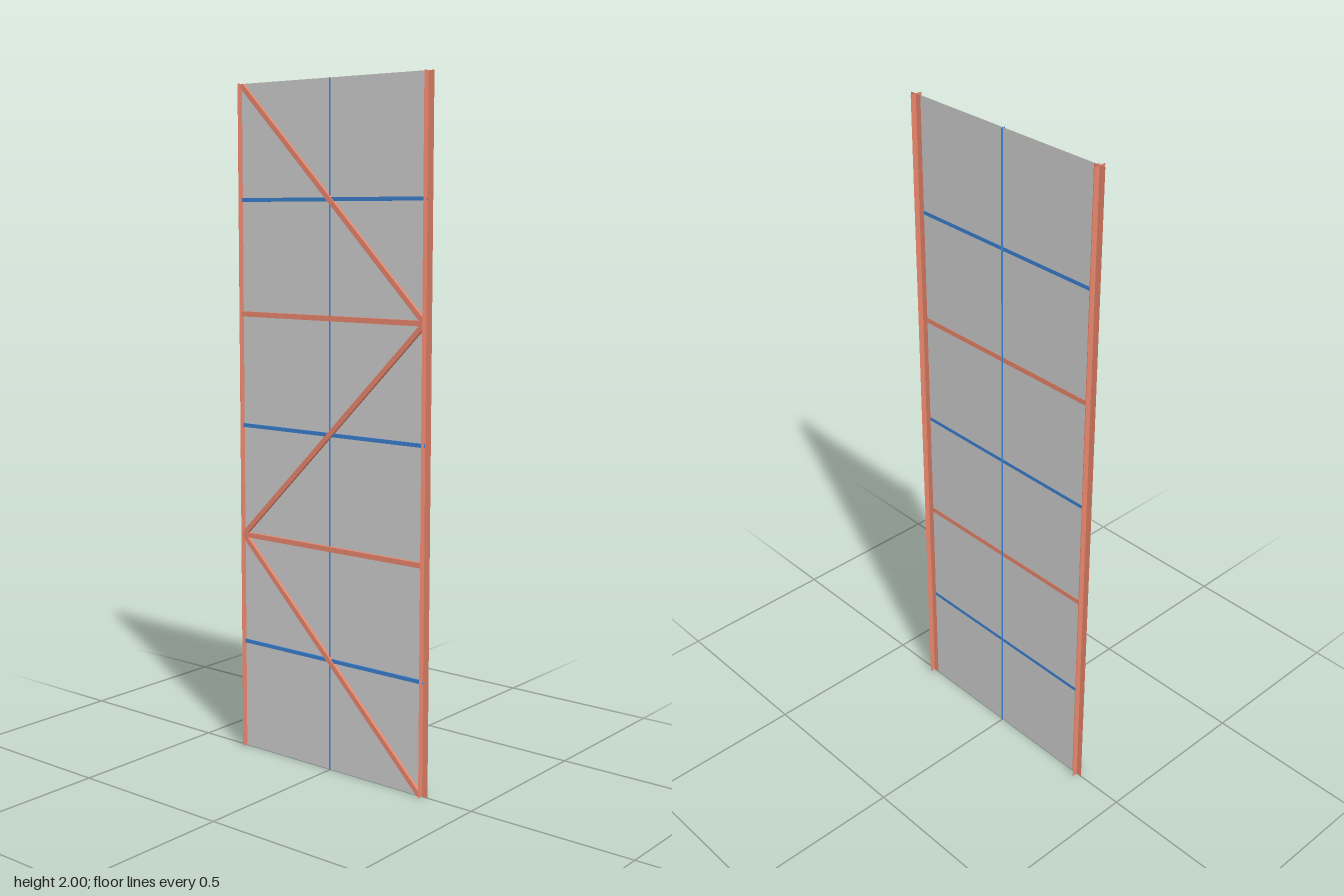
import * as THREE from 'three';

const HEIGHT = 2;
const HALF = 0.333;      // panel half width along z
const BAY = HEIGHT / 3;  // height of one braced bay

const grey = new THREE.MeshStandardMaterial({ color: 0xcccccc, side: THREE.DoubleSide });
const rust = new THREE.MeshStandardMaterial({ color: 0xe8866c, side: THREE.DoubleSide });
const blue = new THREE.MeshStandardMaterial({ color: 0x3a7fd0, side: THREE.DoubleSide });

export function createModel() {
  const model = new THREE.Group();

  const add = (name, geometry, material, x, y, z) => {
    const mesh = new THREE.Mesh(geometry, material);
    mesh.name = name;
    mesh.position.set(x, y, z);
    model.add(mesh);
    return mesh;
  };

  // Thin bar running along z, between the given x limits
  const rail = (name, material, y, height, x0, x1, length) =>
    add(name, new THREE.BoxGeometry(x1 - x0, height, length), material, (x0 + x1) / 2, y, 0);

  // Thin wall sheet
  const sheet = new THREE.PlaneGeometry(HALF * 2, HEIGHT).rotateY(Math.PI / 2);
  add('panel', sheet, grey, 0, HEIGHT / 2, 0);

  // Posts made of two crossed strips
  for (const side of [1, -1]) {
    const strip = new THREE.PlaneGeometry(0.037, HEIGHT);
    add('postStripAcross', strip, rust, 0, HEIGHT / 2, side * HALF);
    add('postStripAlong', strip.clone().rotateY(Math.PI / 2), rust, 0.001, HEIGHT / 2, side * HALF);
  }

  // Main rails between the bays
  for (const i of [1, 2]) rail('mainRail', rust, i * BAY, 0.015, -0.0095, 0.0008, HALF * 2);

  // Secondary rails halfway up each bay
  for (const i of [0, 1, 2]) rail('secondaryRail', blue, (i + 0.5) * BAY, 0.011, -0.0048, 0.0006, HALF * 2);

  // Central upright fin, standing out on both faces of the sheet
  add('centreFin', new THREE.PlaneGeometry(0.013, HEIGHT), blue, 0, HEIGHT / 2, 0);

  // Zigzag braces on the back of the sheet
  for (let i = 0; i < 3; i++) {
    const length = Math.hypot(BAY, HALF * 2) - 0.016;
    const brace = add('diagonalBrace', new THREE.BoxGeometry(0.009, 0.015, length), rust,
      -0.005, (i + 0.5) * BAY, 0);
    brace.rotation.x = (i % 2 ? -1 : 1) * Math.atan2(BAY, HALF * 2);
  }

  return model;
}
